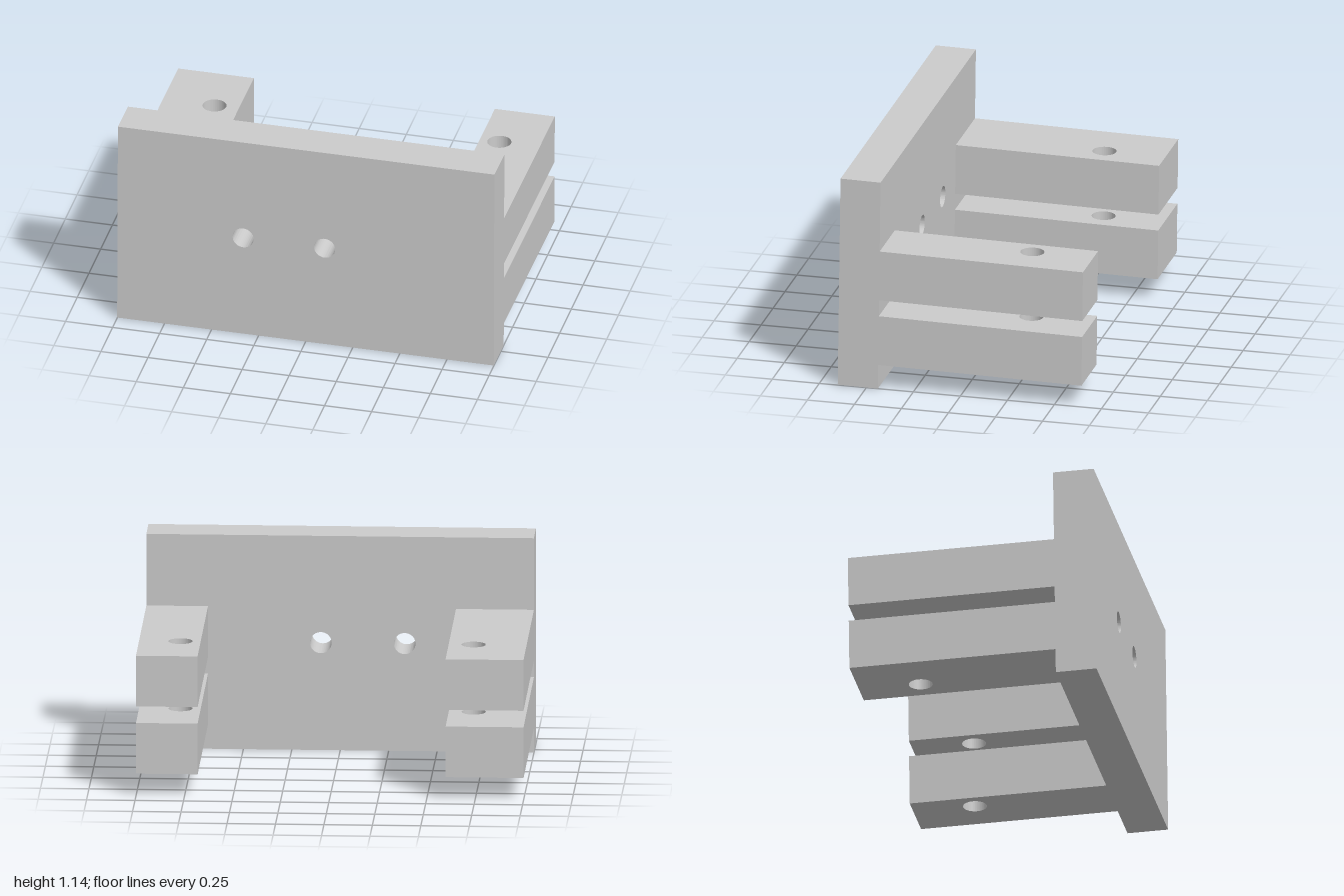
import * as THREE from 'three';
import { toCreasedNormals } from 'three/addons/utils/BufferGeometryUtils.js';

const material = new THREE.MeshStandardMaterial({ color: 0xcccccc });

// Rectangular slab from (x0, 0) to (x1, height), pierced by round holes [x, y, radius]
function drilledSlab(x0, x1, height, depth, holes) {
  const shape = new THREE.Shape();
  shape.moveTo(x0, 0).lineTo(x1, 0).lineTo(x1, height).lineTo(x0, height).closePath();
  for (const [x, y, r] of holes) {
    shape.holes.push(new THREE.Path().absarc(x, y, r, 0, Math.PI * 2, true));
  }
  const geometry = new THREE.ExtrudeGeometry(shape, { depth, bevelEnabled: false, curveSegments: 40 });
  return toCreasedNormals(geometry, 0.5);
}

function addPart(group, name, geometry) {
  const mesh = new THREE.Mesh(geometry, material);
  mesh.name = name;
  group.add(mesh);
  return mesh;
}

export function createModel() {
  const model = new THREE.Group();
  model.name = 'clevisBracket';

  // The whole bracket leans back slightly about the plate's lower rear edge
  const bracket = new THREE.Group();
  bracket.name = 'bracket';
  bracket.position.z = 0.439;
  bracket.rotation.x = -0.013;
  model.add(bracket);

  // Mounting plate with two screw holes
  addPart(bracket, 'mountingPlate', drilledSlab(-1, 1, 1.137, 0.213, [
    [-0.333, 0.57, 0.056],
    [0.1, 0.57, 0.056],
  ]));

  // Two stacked arms per side, each with a vertical pin hole
  const sides = [
    { name: 'right', x0: -1, x1: -0.598, hole: -0.727 },
    { name: 'left', x0: 0.682, x1: 1, hole: 0.786 },
  ];
  const levels = [['Lower', 0.131], ['Upper', 0.488]];
  for (const { name, x0, x1, hole } of sides) {
    for (const [level, y] of levels) {
      const geometry = drilledSlab(x0, x1, 1.081, 0.269, [[hole, 0.758, 0.062]]);
      geometry.rotateX(-Math.PI / 2);
      addPart(bracket, name + level + 'Arm', geometry).position.y = y;
    }
  }
  return model;
}
